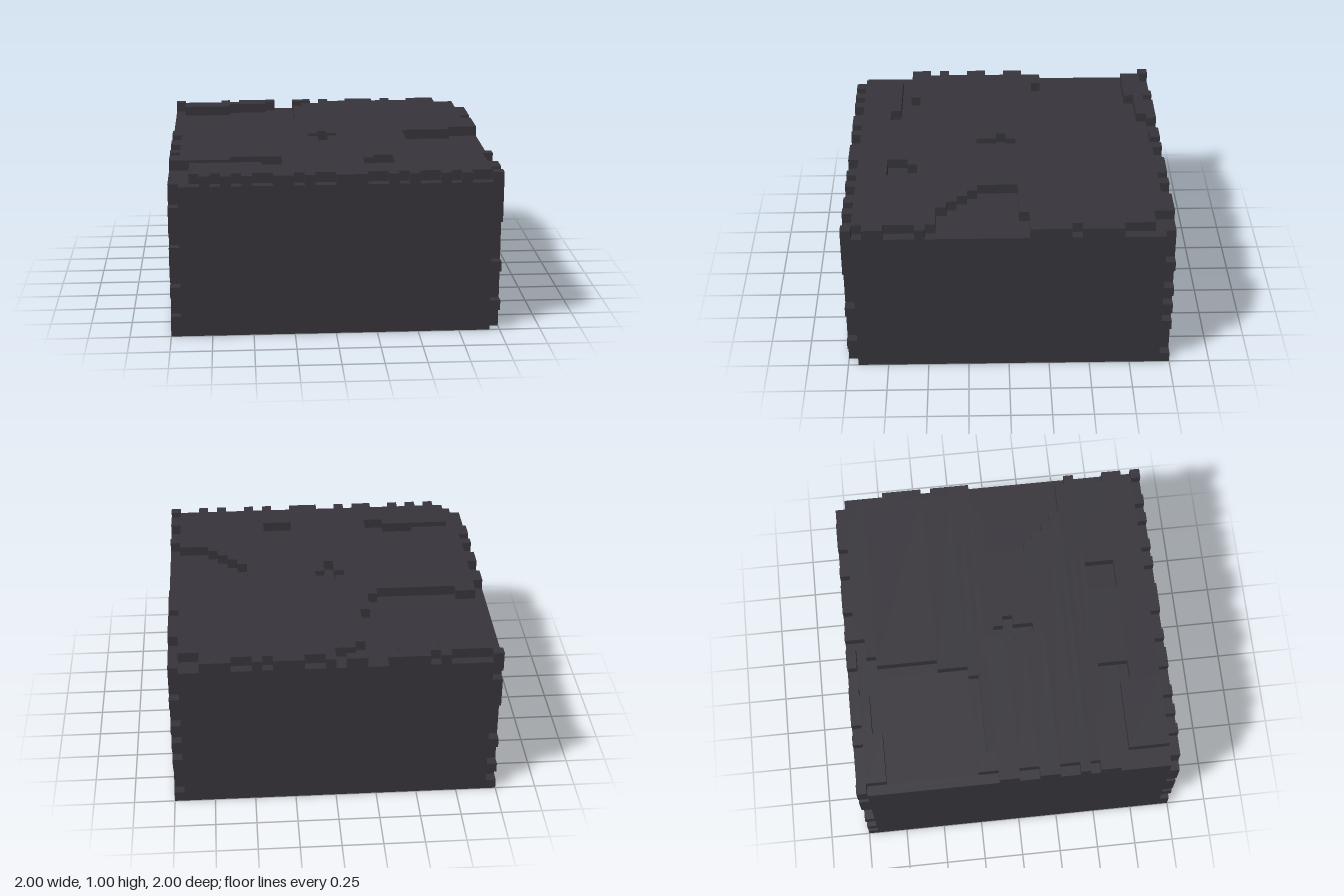
import * as THREE from 'three';

// The block is laid out on a grid of 32 x 16 x 32 cells, each 1/16 unit.
const SIZE = [32, 16, 32];
const CELL = 1 / 16;
const TOP = SIZE[1] - 1;

// Sunken areas of the top layer: [x0, z0, x1, z1]
const SUNKEN = [
  // wide hollow at the back, on the -x side
  [0, 1, 1, 14], [1, 3, 3, 12], [3, 3, 6, 13], [6, 2, 10, 13], [10, 1, 11, 13],
  [11, 0, 12, 12], [12, 0, 13, 9], [13, 1, 14, 3], [14, 1, 15, 2], [15, 0, 16, 2],
  // stepped hollow on the +x side
  [29, 14, 32, 15], [24, 15, 25, 19], [25, 15, 26, 20], [26, 15, 27, 21],
  [27, 15, 28, 22], [28, 15, 31, 23], [31, 15, 32, 24],
  // back corner on the +x side
  [29, 0, 32, 2], [31, 2, 32, 5],
  // bent channel near the front
  [0, 26, 6, 27], [6, 25, 11, 27], [9, 27, 11, 28], [0, 27, 2, 32],
  // small pit and central cross
  [20, 25, 22, 28], [19, 26, 20, 28], [15, 15, 16, 19], [14, 16, 17, 17],
];

// Notches along the four top edges: [start, end]
const FRONT = [[0, 3], [4, 5], [6, 7], [8, 10], [12, 13], [14, 16], [19, 21], [22, 23], [24, 26], [27, 28], [29, 31]];
const BACK = [[1, 5], [6, 7], [17, 19], [22, 23], [24, 26]];
const LEFT = [[9, 10], [25, 28], [30, 31]];
const RIGHT = [[16, 18], [20, 22], [23, 24]];

// Notches up the four vertical edges: x, z, [bottom, top] spans
const CORNERS = [
  [0, 31, [[2, 4], [5, 6], [9, 10], [13, 16]]],
  [31, 31, [[0, 2], [3, 6], [7, 11]]],
  [31, 0, [[1, 4], [5, 6], [7, 8], [9, 11], [12, 16]]],
  [0, 0, [[1, 2], [3, 5], [6, 10], [13, 14]]],
];

// Carve all the cuts out of a full block and return a solid test
function carveBlock() {
  const [w, h, d] = SIZE;
  const cells = new Uint8Array(w * h * d).fill(1);
  const index = (x, y, z) => (y * d + z) * w + x;
  const cut = (x0, y0, z0, x1, y1, z1) => {
    for (let y = y0; y < y1; y++)
      for (let z = z0; z < z1; z++)
        for (let x = x0; x < x1; x++) cells[index(x, y, z)] = 0;
  };
  for (const [x0, z0, x1, z1] of SUNKEN) cut(x0, TOP, z0, x1, h, z1);
  for (const [a, b] of FRONT) cut(a, TOP, d - 1, b, h, d);
  for (const [a, b] of BACK) cut(a, TOP, 0, b, h, 1);
  for (const [a, b] of LEFT) cut(w - 1, TOP, a, w, h, b);
  for (const [a, b] of RIGHT) cut(0, TOP, a, 1, h, b);
  for (const [x, z, spans] of CORNERS)
    for (const [a, b] of spans) cut(x, a, z, x + 1, b, z + 1);
  return (x, y, z) =>
    x >= 0 && y >= 0 && z >= 0 && x < w && y < h && z < d && cells[index(x, y, z)] === 1;
}

// Skin the exposed faces of layers y0..y1, merged into large rectangles
function skin(solid, y0, y1) {
  const positions = [], normals = [], indices = [];
  const addQuad = (axis, sign, plane, u0, v0, u1, v1) => {
    const u = (axis + 1) % 3, v = (axis + 2) % 3;
    const base = positions.length / 3;
    const normal = [0, 0, 0];
    normal[axis] = sign;
    for (const [a, b] of [[u0, v0], [u1, v0], [u1, v1], [u0, v1]]) {
      const p = [0, 0, 0];
      p[axis] = plane; p[u] = a; p[v] = b;
      positions.push(p[0] * CELL - 1, p[1] * CELL, p[2] * CELL - 1);
      normals.push(...normal);
    }
    const order = sign > 0 ? [0, 1, 2, 0, 2, 3] : [0, 2, 1, 0, 3, 2];
    indices.push(...order.map((i) => base + i));
  };

  for (let axis = 0; axis < 3; axis++) {
    const u = (axis + 1) % 3, v = (axis + 2) % 3;
    const nu = SIZE[u], nv = SIZE[v];
    for (const sign of [-1, 1]) {
      for (let s = 0; s < SIZE[axis]; s++) {
        const open = [];
        for (let b = 0; b < nv; b++) {
          for (let a = 0; a < nu; a++) {
            const c = [0, 0, 0];
            c[axis] = s; c[u] = a; c[v] = b;
            const n = c.slice();
            n[axis] += sign;
            open.push(c[1] >= y0 && c[1] < y1 && solid(...c) && !solid(...n));
          }
        }
        // grow each rectangle along u, then along v
        for (let b = 0; b < nv; b++) {
          for (let a = 0; a < nu; a++) {
            if (!open[b * nu + a]) continue;
            let a1 = a + 1, b1 = b + 1;
            while (a1 < nu && open[b * nu + a1]) a1++;
            const rowOpen = (row) => {
              for (let i = a; i < a1; i++) if (!open[row * nu + i]) return false;
              return true;
            };
            while (b1 < nv && rowOpen(b1)) b1++;
            for (let j = b; j < b1; j++) open.fill(false, j * nu + a, j * nu + a1);
            addQuad(axis, sign, sign > 0 ? s + 1 : s, a, b, a1, b1);
          }
        }
      }
    }
  }
  const geometry = new THREE.BufferGeometry();
  geometry.setAttribute('position', new THREE.Float32BufferAttribute(positions, 3));
  geometry.setAttribute('normal', new THREE.Float32BufferAttribute(normals, 3));
  geometry.setIndex(indices);
  return geometry;
}

export function createModel() {
  const group = new THREE.Group();
  group.name = 'chippedStoneBlock';
  const stone = new THREE.MeshStandardMaterial({ color: 0x37353b });
  stone.name = 'darkStone';

  const solid = carveBlock();
  const addPart = (name, y0, y1) => {
    const mesh = new THREE.Mesh(skin(solid, y0, y1), stone);
    mesh.name = name;
    group.add(mesh);
  };
  addPart('blockBody', 0, TOP);
  addPart('topLayer', TOP, SIZE[1]);
  return group;
}
